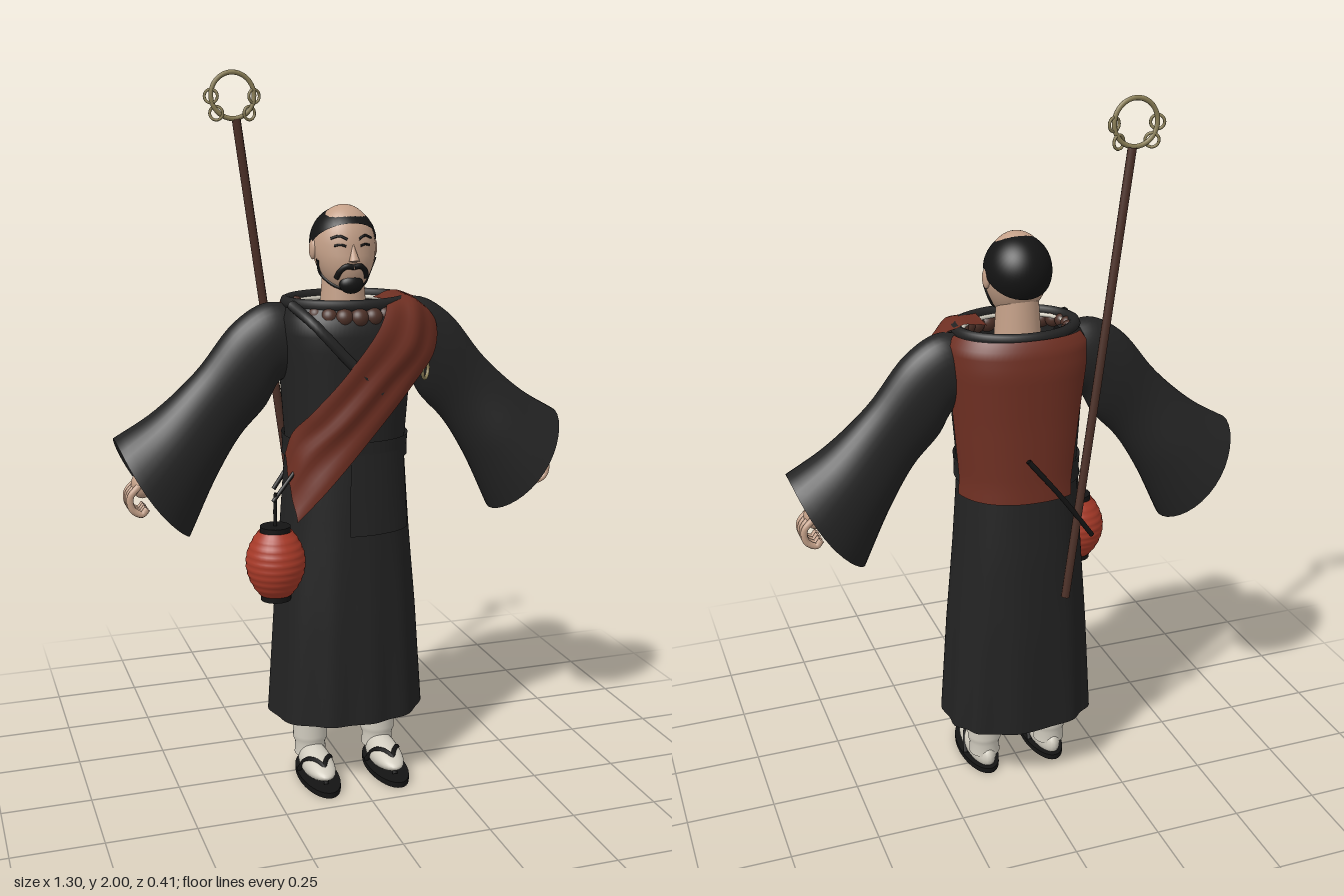
import * as THREE from 'three';

const mat = (name, color, side = THREE.DoubleSide) => {
  const m = new THREE.MeshStandardMaterial({ color, side });
  m.name = name;
  return m;
};
const V = (x, y, z) => new THREE.Vector3(x, y, z);

export function createModel() {
  const root = new THREE.Group();
  root.name = 'wanderingMonk';
  const robe = mat('robe black', 0x232323), black = mat('ink black', 0x141414);
  const rust = mat('sash rust', 0x6e2f22), skin = mat('skin', 0xc4a088);
  const white = mat('sock white', 0xd2cdc0), wood = mat('dark wood', 0x4c3027);
  const brass = mat('old brass', 0x8c8058), red = mat('lantern red', 0xa83a28);

  const add = (name, geo, m, x = 0, y = 0, z = 0) => {
    const mesh = new THREE.Mesh(geo, m);
    mesh.name = name;
    mesh.position.set(x, y, z);
    root.add(mesh);
    return mesh;
  };
  // Smooth surface from fn(u, v); closed joins u = 1 to u = 0
  const grid = (nu, nv, fn, closed = false) => {
    const pos = [], idx = [], cols = closed ? nu : nu + 1;
    for (let j = 0; j <= nv; j++)
      for (let i = 0; i < cols; i++) pos.push(...fn(i / nu, j / nv).toArray());
    for (let j = 0; j < nv; j++)
      for (let i = 0; i < nu; i++) {
        const a = j * cols + i, b = j * cols + (i + 1) % cols;
        idx.push(a, b, b + cols, a, b + cols, a + cols);
      }
    const g = new THREE.BufferGeometry();
    g.setAttribute('position', new THREE.Float32BufferAttribute(pos, 3));
    g.setIndex(idx);
    g.computeVertexNormals();
    return g;
  };
  const curve = pts => new THREE.CatmullRomCurve3(pts.map(p => V(...p)));
  const tube = (name, pts, r, m, closed = false) => {
    const c = curve(pts);
    c.closed = closed;
    return add(name, new THREE.TubeGeometry(c, pts.length * 6, r, 8, closed), m);
  };
  const ball = (name, m, x, y, z, sx, sy = sx, sz = sx) => {
    const s = add(name, new THREE.SphereGeometry(1, 28, 20), m, x, y, z);
    s.scale.set(sx, sy, sz);
    return s;
  };

  // Robe outline: height, half width, front z, back z
  const outline = [
    [0.195, 0.222, 0.168, -0.18], [0.5, 0.203, 0.162, -0.18], [0.75, 0.182, 0.153, -0.175],
    [0.98, 0.165, 0.147, -0.162], [1.15, 0.178, 0.155, -0.162], [1.3, 0.192, 0.165, -0.165],
    [1.365, 0.19, 0.155, -0.155], [1.39, 0.165, 0.13, -0.135]];
  const body = (a, y, off = 0) => {
    let k = 0;
    while (k < outline.length - 2 && y > outline[k + 1][0]) k++;
    const p = outline[k], q = outline[k + 1];
    const t = (y - p[0]) / (q[0] - p[0]);
    const [hx, zf, zb] = [1, 2, 3].map(n => p[n] + (q[n] - p[n]) * t);
    const fold = 1 + 0.022 * Math.max(0, (0.85 - y) / 0.65) * Math.sin(11 * a + Math.sin(3 * a));
    const r = fold * (1 + off / hx);
    const round = v => Math.sign(v) * Math.abs(v) ** 0.88;
    return V(hx * r * round(Math.sin(a)), y, (zf + zb) / 2 + (zf - zb) / 2 * r * round(Math.cos(a)));
  };
  const wrap = (name, m, a0, a1, y0, y1, off, closed = false) =>
    add(name, grid(closed ? 96 : 30, 28,
      (u, v) => body(a0 + (a1 - a0) * u, y0 + (y1 - y0) * v, off), closed), m);
  wrap('robe', robe, 0, Math.PI * 2, 0.195, 1.39, 0, true);
  wrap('belt', robe, 0, Math.PI * 2, 0.955, 1.015, 0.008, true);
  wrap('apronFlap', robe, -0.15, 0.9, 0.75, 0.96, 0.007);

  // Collar rolls and lapel
  const ring = (n, rx, rz, y, dz = 0) => Array.from({ length: n }, (_, i) => {
    const a = i / n * Math.PI * 2;
    return [rx * Math.sin(a), y, dz + rz * Math.cos(a)];
  });
  tube('collar', ring(16, 0.165, 0.133, 1.385), 0.016, robe, true);
  tube('innerCollar', ring(16, 0.145, 0.115, 1.378), 0.006, white, true);
  tube('lapel', [[-0.17, 1.385, 0.06], [-0.13, 1.34, 0.145], [-0.05, 1.25, 0.17], [0.05, 1.15, 0.165]], 0.014, robe);

  // Sash across the chest: rows run from the shoulder to the right hip
  const rows = [
    [[0.08, 1.39, 0.0], [0.15, 1.405, -0.02], [0.21, 1.385, -0.02]],
    [[0.075, 1.388, 0.13], [0.165, 1.385, 0.11], [0.25, 1.33, 0.04]],
    [[0.04, 1.33, 0.178], [0.14, 1.285, 0.168], [0.225, 1.25, 0.11]],
    [[-0.06, 1.2, 0.18], [0.04, 1.18, 0.185], [0.14, 1.16, 0.155]],
    [[-0.14, 1.1, 0.14], [-0.06, 1.07, 0.175], [0.04, 1.05, 0.172]],
    [[-0.18, 1.04, 0.09], [-0.155, 0.97, 0.13], [-0.1, 0.89, 0.165]],
    [[-0.195, 0.98, 0.07], [-0.19, 0.89, 0.1], [-0.18, 0.8, 0.14]]];
  const lanes = [0, 1, 2].map(k => curve(rows.map(r => r[k])));
  add('sash', grid(14, 40, (u, v) => {
    const c = new THREE.CatmullRomCurve3(lanes.map(l => l.getPoint(v)));
    const p = c.getPoint(u);
    p.z += 0.004 * Math.sin(u * 16);
    return p;
  }), rust);
  add('sashBack', grid(30, 20, (u, v) => {
    const end = Math.PI + 0.55 + 0.3 * v;
    return body(1.75 + (end - 1.75) * u, 0.93 + 0.455 * v, 0.018);
  }), rust);
  const sashRing = add('sashRing', new THREE.TorusGeometry(0.026, 0.005, 8, 24), brass, 0.195, 1.2, 0.115);
  sashRing.rotation.y = 0.9;

  // Wide sleeves: upper edge x y, lower edge x y, half depth
  const cuts = [[0.12, 1.37, 0.13, 1.17, 0.06], [0.22, 1.385, 0.185, 1.17, 0.068], [0.31, 1.335, 0.23, 1.1, 0.068],
    [0.42, 1.205, 0.3, 1.025, 0.066], [0.54, 1.1, 0.37, 0.915, 0.095], [0.648, 1.035, 0.45, 0.75, 0.125]];
  const upper = curve(cuts.map(c => [c[0], c[1], c[4]]));
  const lower = curve(cuts.map(c => [c[2], c[3], c[4]]));
  for (const s of [1, -1]) {
    const side = s > 0 ? 'left' : 'right';
    add(side + 'Sleeve', grid(36, 28, (u, v) => {
      const p = upper.getPoint(v), q = lower.getPoint(v), a = u * Math.PI * 2;
      const w = (1 + Math.cos(a)) / 2;
      const bulge = 0.018 * v ** 4 * Math.sin(a) ** 2;
      return V(s * (q.x + (p.x - q.x) * w + bulge), q.y + (p.y - q.y) * w - bulge,
        -0.01 + p.z * Math.sin(a));
    }, true), robe);

    // Forearm and half-closed hand
    tube(side + 'Forearm', [[s * 0.4, 1.09, -0.01], [s * 0.49, 0.99, -0.005], [s * 0.57, 0.92, 0]], 0.024, skin);
    ball(side + 'Palm', skin, s * 0.578, 0.905, 0, 0.03, 0.036, 0.038);
    for (let i = 0; i < 4; i++) {
      const z = -0.032 + i * 0.02;
      tube(side + 'Finger', [[s * 0.59, 0.91, z], [s * 0.615, 0.88, z], [s * 0.61, 0.845, z],
        [s * 0.585, 0.83, z], [s * 0.57, 0.845, z]], 0.0095, skin);
    }
    tube(side + 'Thumb', [[s * 0.57, 0.92, 0.025], [s * 0.54, 0.895, 0.042], [s * 0.522, 0.865, 0.035]], 0.01, skin);

    // Legs, split-toe socks and sandals
    const x = s * 0.104;
    const leg = [[0.046, 0.05], [0.044, 0.085], [0.05, 0.1], [0.05, 0.11], [0.053, 0.2], [0.06, 0.35], [0.064, 0.5]];
    add(side + 'Leg', new THREE.LatheGeometry(leg.map(p => new THREE.Vector2(...p)), 28), white, x, 0, -0.012);
    const foot = new THREE.SphereGeometry(1, 28, 20);
    const fp = foot.attributes.position;
    for (let i = 0; i < fp.count; i++) {
      const z = fp.getZ(i), y = fp.getY(i);
      fp.setXYZ(i, fp.getX(i) * (0.045 + 0.004 * z), Math.max(y * (0.045 - 0.02 * z), -0.025), z * 0.118);
    }
    foot.computeVertexNormals();
    add(side + 'Foot', foot, white, x, 0.043, 0.048);
    add(side + 'Sandal', new THREE.CylinderGeometry(1, 1, 0.016, 36), black, x, 0.008, 0.064).scale.set(0.055, 1, 0.136);
    for (const e of [1, -1])
      tube(side + 'Strap', [[x + e * 0.046, 0.018, 0.03], [x + e * 0.034, 0.064, 0.07],
        [x + e * 0.012, 0.07, 0.105], [x, 0.058, 0.13], [x, 0.02, 0.15]], 0.0075, black);
  }

  // Neck and head, narrowing to the chin
  add('neck', new THREE.CylinderGeometry(0.056, 0.066, 0.14, 28), skin, 0, 1.41, -0.018);
  const head = new THREE.SphereGeometry(1, 36, 28);
  const hp = head.attributes.position;
  for (let i = 0; i < hp.count; i++) {
    const y = hp.getY(i), low = Math.max(0, -y);
    hp.setXYZ(i, hp.getX(i) * 0.088 * (1 - 0.12 * low), y * 0.12, hp.getZ(i) * 0.085 + 0.02 * low);
  }
  head.computeVertexNormals();
  add('head', head, skin, 0, 1.525, -0.01);
  const face = (x, y) => {
    const n = (y - 1.525) / 0.12, low = Math.max(0, -n);
    const w = 0.088 * (1 - 0.12 * low);
    return [x, y, -0.009 + 0.02 * low + 0.085 * Math.sqrt(Math.max(0, 1 - n * n - (x / w) ** 2))];
  };
  const hair = add('hair', new THREE.SphereGeometry(1, 36, 20, 0, Math.PI * 2, 0, Math.PI * 0.51), black, 0, 1.541, -0.018);
  hair.scale.set(0.092, 0.099, 0.098);
  hair.rotation.x = -0.65;
  const nose = add('nose', new THREE.ConeGeometry(0.015, 0.05, 12), skin, 0, 1.522, 0.077);
  nose.rotation.x = -0.2;
  ball('noseTip', skin, 0, 1.503, 0.082, 0.012, 0.009, 0.01);
  for (const s of [1, -1]) {
    ball('ear', skin, s * 0.087, 1.525, -0.015, 0.01, 0.028, 0.018);
    tube('eyebrow', [[0.016, 1.556], [0.036, 1.565], [0.057, 1.558]].map(p => face(s * p[0], p[1])), 0.0035, black);
    tube('eye', [[0.02, 1.538], [0.034, 1.542], [0.05, 1.539]].map(p => face(s * p[0], p[1])), 0.003, black);
    tube('moustache', [[0, 1.482], [0.02, 1.484], [0.036, 1.47], [0.042, 1.452]].map(p => face(s * p[0], p[1])), 0.0075, black);
    tube('jawBeard', [[0.082, 1.5], [0.07, 1.46], [0.045, 1.432], [0.018, 1.42]].map(p => face(s * p[0], p[1])), 0.005, black);
  }
  ball('goatee', black, 0, 1.434, 0.056, 0.034, 0.026, 0.02);

  // Prayer beads lying inside the collar
  for (let i = 0; i < 13; i++) {
    const a = -2.2 + i * 0.27;
    const r = 0.017 + 0.01 * Math.max(0, Math.cos(a));
    ball('prayerBead', wood, 0.15 * Math.sin(a), 1.375 - 0.022 * Math.max(0, Math.cos(a)), 0.01 + 0.13 * Math.cos(a), r);
  }

  // Ringed staff and a thin rod carried on the back
  tube('staff', [[-0.082, 0.63, -0.188], [-0.17, 1.24, -0.172], [-0.262, 1.87, -0.15]], 0.0125, wood);
  tube('backRod', [[0.03, 1.06, -0.188], [-0.07, 0.935, -0.192], [-0.16, 0.81, -0.186]], 0.007, black);
  add('staffHead', new THREE.TorusGeometry(0.06, 0.0065, 10, 40), brass, -0.272, 1.932, -0.146).scale.y = 1.02;
  for (const s of [1, -1])
    for (const y of [1.93, 1.885])
      add('staffRing', new THREE.TorusGeometry(0.018, 0.004, 8, 20), brass,
        -0.272 + s * (y > 1.9 ? 0.06 : 0.046), y, -0.146).rotation.y = s * 0.4;

  // Paper lantern with shallow ribs, hung from the belt
  const paper = [];
  for (let i = 0; i <= 36; i++) {
    const t = i / 36, r = 0.044 + 0.038 * Math.sin(Math.PI * t) ** 0.8;
    paper.push(new THREE.Vector2(r + 0.001 * Math.cos(i * Math.PI / 2), 0.6 + 0.18 * t));
  }
  add('lantern', new THREE.LatheGeometry(paper, 32), red, -0.239, 0, 0.122);
  for (const y of [0.593, 0.784])
    add('lanternCap', new THREE.CylinderGeometry(0.042, 0.042, 0.018, 28), black, -0.239, y, 0.122);
  tube('lanternHook', [[-0.239, 0.79, 0.122], [-0.239, 0.84, 0.122], [-0.237, 0.885, 0.122]], 0.005, black);
  tube('lanternRod', [[-0.245, 0.862, 0.125], [-0.2, 0.91, 0.11], [-0.14, 0.97, 0.085]], 0.006, black);

  return root;
}
